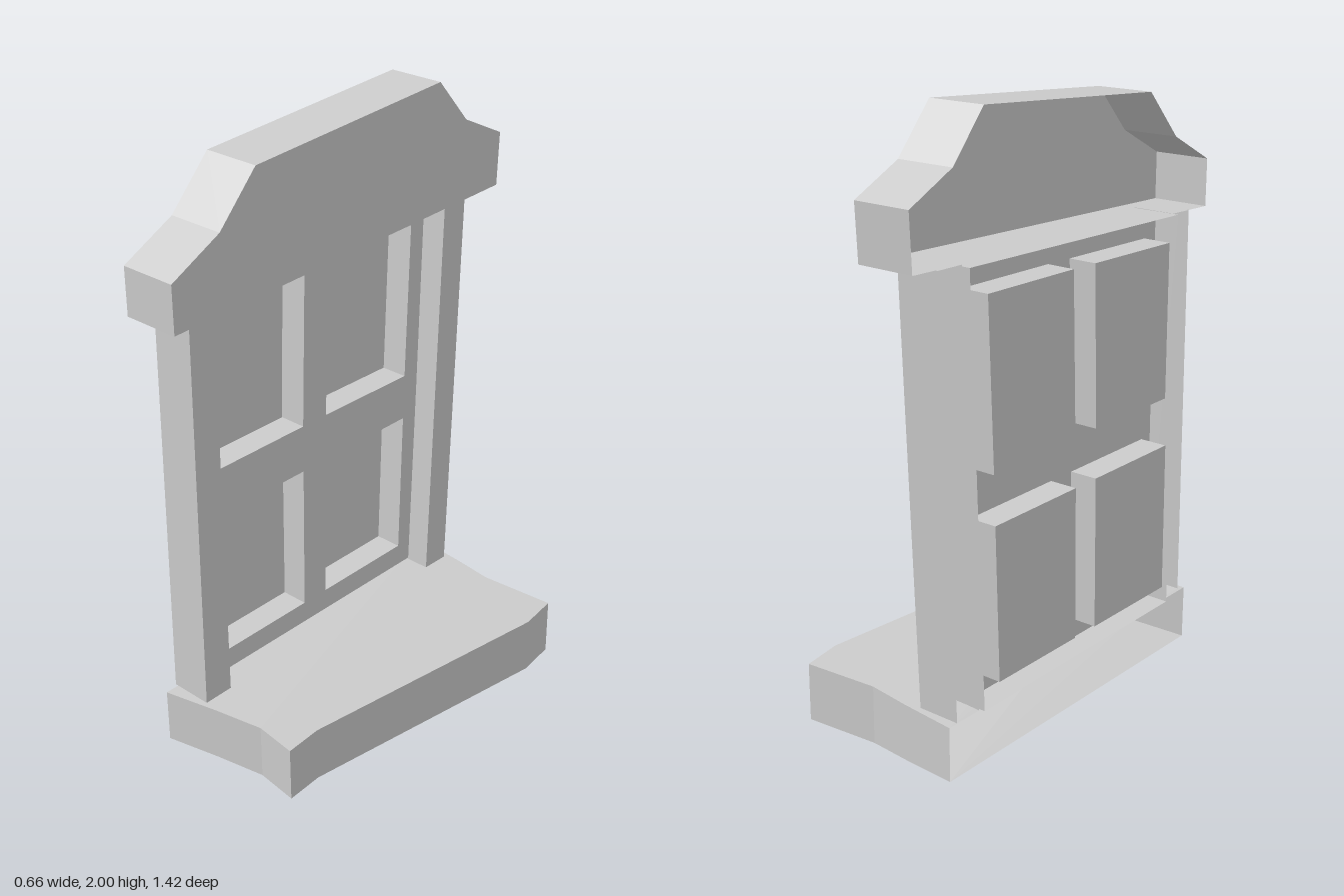
import * as THREE from 'three';

const material = new THREE.MeshStandardMaterial({
  color: 0xcccccc, flatShading: true, side: THREE.DoubleSide,
});

// Hollow prism: sweeps a 2D loop from end 0 to end 1 with place(point, end).
// caps lists the closed ends, openEdge is a side wall left out.
function prism(name, loop, place, { caps = [1], holes = [], openEdge = -1 } = {}) {
  const toV2 = (pts) => pts.map(([a, b]) => new THREE.Vector2(a, b));
  let outer = toV2(loop);
  if (THREE.ShapeUtils.isClockWise(outer)) outer = outer.reverse();
  const inner = holes.map((h) => {
    const pts = toV2(h);
    return THREE.ShapeUtils.isClockWise(pts) ? pts : pts.reverse();
  });
  const all = [outer, ...inner].flat();
  const pos = [];
  const tri = (...corners) => corners.forEach((c) => pos.push(...c));

  for (const end of caps) {
    for (const [a, b, c] of THREE.ShapeUtils.triangulateShape(outer, inner)) {
      const [p, q, r] = [a, b, c].map((i) => place(all[i], end));
      if (end) tri(p, r, q);
      else tri(p, q, r);
    }
  }
  outer.forEach((p, i) => {
    if (i === openEdge) return;
    const q = outer[(i + 1) % outer.length];
    const [p0, q0, p1, q1] = [place(p, 0), place(q, 0), place(p, 1), place(q, 1)];
    tri(p0, p1, q0);
    tri(q0, p1, q1);
  });

  const geometry = new THREE.BufferGeometry();
  geometry.setAttribute('position', new THREE.Float32BufferAttribute(pos, 3));
  geometry.computeVertexNormals();
  const mesh = new THREE.Mesh(geometry, material);
  mesh.name = name;
  return mesh;
}

// Places a (z, y) outline between two depths along x
const along = (x0, x1) => (p, end) => [end ? x1 : x0, p.y, p.x];

export function createModel() {
  const group = new THREE.Group();
  group.name = 'window';

  // Crooked stepped lintel, open at the wall side
  group.add(prism('lintel', [
    [0.715, 1.54], [0.715, 1.695], [0.53, 1.79], [0.385, 1.945],
    [-0.405, 2.0], [-0.535, 1.85], [-0.71, 1.765], [-0.70, 1.588],
  ], along(-0.295, -0.1)));

  // Leaning side posts
  const posts = [
    [[0.635, 0.21], [0.53, 0.21], [0.522, 1.548], [0.617, 1.545]],
    [[-0.435, 0.195], [-0.535, 0.195], [-0.6, 1.582], [-0.5, 1.58]],
  ];
  posts.forEach((loop, i) => group.add(prism(`sidePost${i + 1}`, loop, along(-0.295, -0.15))));

  // Frame plate with four openings, each backed by a recessed pane
  const panes = [
    [[0.464, 0.955], [0.087, 0.955], [0.066, 1.48], [0.459, 1.47]],
    [[-0.019, 0.955], [-0.406, 0.95], [-0.432, 1.49], [-0.04, 1.483]],
    [[0.483, 0.28], [0.1, 0.28], [0.09, 0.79], [0.475, 0.79]],
    [[-0.003, 0.28], [-0.38, 0.28], [-0.4, 0.79], [-0.013, 0.79]],
  ];
  group.add(prism('frame',
    [[0.528, 0.207], [-0.438, 0.203], [-0.497, 1.574], [0.518, 1.548]],
    along(-0.32, -0.235), { holes: panes }));
  panes.forEach((loop, i) => group.add(
    prism(`pane${i + 1}`, loop, along(-0.33, -0.235), { caps: [0] })));

  // Uneven sill in (x, z), slightly tilted and open at the wall side
  const sillPlace = (p, end) => {
    const rise = THREE.MathUtils.smoothstep(p.x, -0.295, 0.08);
    const y = end
      ? 0.197 + 0.013 * rise + 0.02 * p.y * rise + 0.004 * p.y
      : 0.014 + 0.004 * rise + 0.033 * p.y * rise;
    return [p.x, Math.max(0, y), p.y];
  };
  group.add(prism('sill', [
    [-0.295, -0.57], [-0.1, -0.55], [0.05, -0.53], [0.31, -0.55], [0.33, -0.41],
    [0.215, 0.51], [0.225, 0.64], [0.08, 0.622], [-0.1, 0.645], [-0.295, 0.675],
  ], sillPlace, { caps: [0, 1], openEdge: 9 }));

  return group;
}
